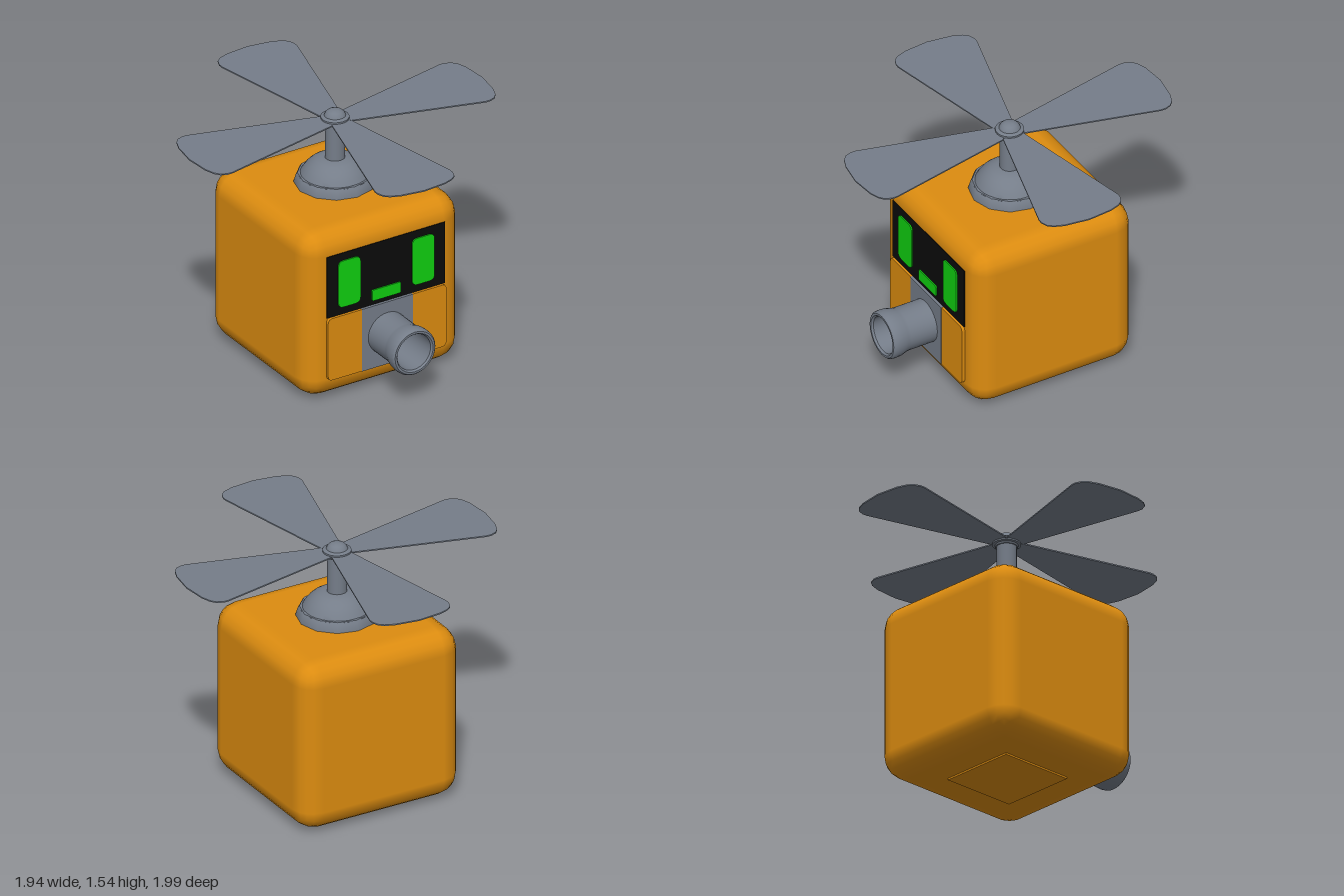
import * as THREE from 'three';
import { toCreasedNormals } from 'three/addons/utils/BufferGeometryUtils.js';
import { RoundedBoxGeometry } from 'three/addons/geometries/RoundedBoxGeometry.js';

const material = (name, color, side = THREE.FrontSide) => {
  const m = new THREE.MeshStandardMaterial({ color, side });
  m.name = name;
  return m;
};

export function createModel() {
  const orange = material('orange', 0xdc8c10);
  const grey = material('grey', 0x757d89, THREE.DoubleSide);
  const black = material('black', 0x0a0a0a);
  const green = material('green', 0x0fd010);

  const model = new THREE.Group();
  model.name = 'propellerRobot';

  const add = (name, geometry, mat, x = 0, y = 0, z = 0, parent = model) => {
    const mesh = new THREE.Mesh(geometry, mat);
    mesh.name = name;
    mesh.position.set(x, y, z);
    parent.add(mesh);
    return mesh;
  };

  // Flat plate with rounded corners, centred on x and y, back at z = 0
  const plate = (w, h, depth, r) => {
    const a = w / 2, b = h / 2;
    const s = new THREE.Shape();
    s.moveTo(-a + r, -b);
    s.lineTo(a - r, -b);
    s.quadraticCurveTo(a, -b, a, -b + r);
    s.lineTo(a, b - r);
    s.quadraticCurveTo(a, b, a - r, b);
    s.lineTo(-a + r, b);
    s.quadraticCurveTo(-a, b, -a, b - r);
    s.lineTo(-a, -b + r);
    s.quadraticCurveTo(-a, -b, -a + r, -b);
    return new THREE.ExtrudeGeometry(s, { depth, bevelEnabled: false, curveSegments: 5 });
  };

  const lathe = (points, sides) => toCreasedNormals(
    new THREE.LatheGeometry(points.map(([r, y]) => new THREE.Vector2(r, y)), sides), 0.6);

  // Body and the shallow plate under it
  add('body', new RoundedBoxGeometry(1.065, 1.067, 1.067, 2, 0.135), orange, 0, 0.544, -0.015);
  add('basePlate', new THREE.BoxGeometry(0.48, 0.02, 0.48), orange, 0, 0.01, -0.01);

  // Face
  add('screen', new THREE.BoxGeometry(0.8, 0.395, 0.008), black, 0, 0.742, 0.519);
  for (const side of [-1, 1]) {
    add(side > 0 ? 'leftEye' : 'rightEye', plate(0.15, 0.3, 0.009, 0.035), green, side * 0.25, 0.742, 0.522);
  }
  add('mouth', plate(0.195, 0.07, 0.009, 0.012), green, 0, 0.608, 0.522);
  add('lowerPanel', plate(0.8, 0.4, 0.03, 0.03), orange, 0, 0.344, 0.508);
  add('nozzleMount', new THREE.BoxGeometry(0.345, 0.402, 0.03), grey, 0, 0.344, 0.525);

  // Hollow nozzle with a flared lip
  const nozzle = lathe([
    [0.13, 0.53], [0.13, 0.71], [0.134, 0.73], [0.144, 0.765], [0.146, 0.8], [0.143, 0.823],
    [0.135, 0.832], [0.122, 0.832], [0.113, 0.82], [0.11, 0.56], [0, 0.56],
  ], 32);
  add('nozzle', nozzle.rotateX(Math.PI / 2), grey, 0, 0.347, 0);

  // Rotor mount: faceted skirt, dome, shaft and hub
  const cz = -0.017;
  add('domeSkirt', lathe([[0.238, 1.07], [0.236, 1.085], [0.226, 1.12], [0.215, 1.136], [0.19, 1.138]], 12),
    grey, 0, 0, cz);
  add('dome', lathe([
    [0.212, 1.07], [0.212, 1.132], [0.2, 1.135], [0.185, 1.16], [0.165, 1.185],
    [0.14, 1.207], [0.112, 1.224], [0.08, 1.234], [0, 1.236],
  ], 32), grey, 0, 0, cz);
  add('shaft', new THREE.CylinderGeometry(0.058, 0.058, 0.27, 24), grey, 0, 1.345, cz);
  add('hub', lathe([
    [0, 1.458], [0.065, 1.458], [0.068, 1.468], [0.083, 1.471], [0.083, 1.497], [0.068, 1.503],
    [0.062, 1.505], [0.056, 1.519], [0.043, 1.532], [0.024, 1.54], [0, 1.542],
  ], 24), grey, 0, 0, cz);

  // Four blades, widening outward to a rounded tip
  const outline = [[0.02, 0.035], [0.065, 0.065], [0.255, 0.855], [0.255, 0.885], [0.24, 0.925],
    [0.21, 0.95], [0.15, 0.972], [0, 0.99]];
  const shape = new THREE.Shape([
    ...outline.map(([x, y]) => new THREE.Vector2(x, y)),
    ...outline.slice(0, -1).reverse().map(([x, y]) => new THREE.Vector2(-x, y)),
  ]);
  const blade = new THREE.ExtrudeGeometry(shape, { depth: 0.008, bevelEnabled: false });
  blade.translate(0, 0, -0.004).rotateX(Math.PI / 2);

  const rotor = new THREE.Group();
  rotor.name = 'rotor';
  rotor.position.set(0, 1.483, -0.006);
  rotor.rotation.x = 0.004;
  rotor.scale.set(0.98, 1, 1.004);
  for (let i = 0; i < 4; i++) {
    add('blade' + (i + 1), blade, grey, 0, 0, 0, rotor).rotation.y = i * Math.PI / 2 - 0.036;
  }
  model.add(rotor);

  return model;
}
